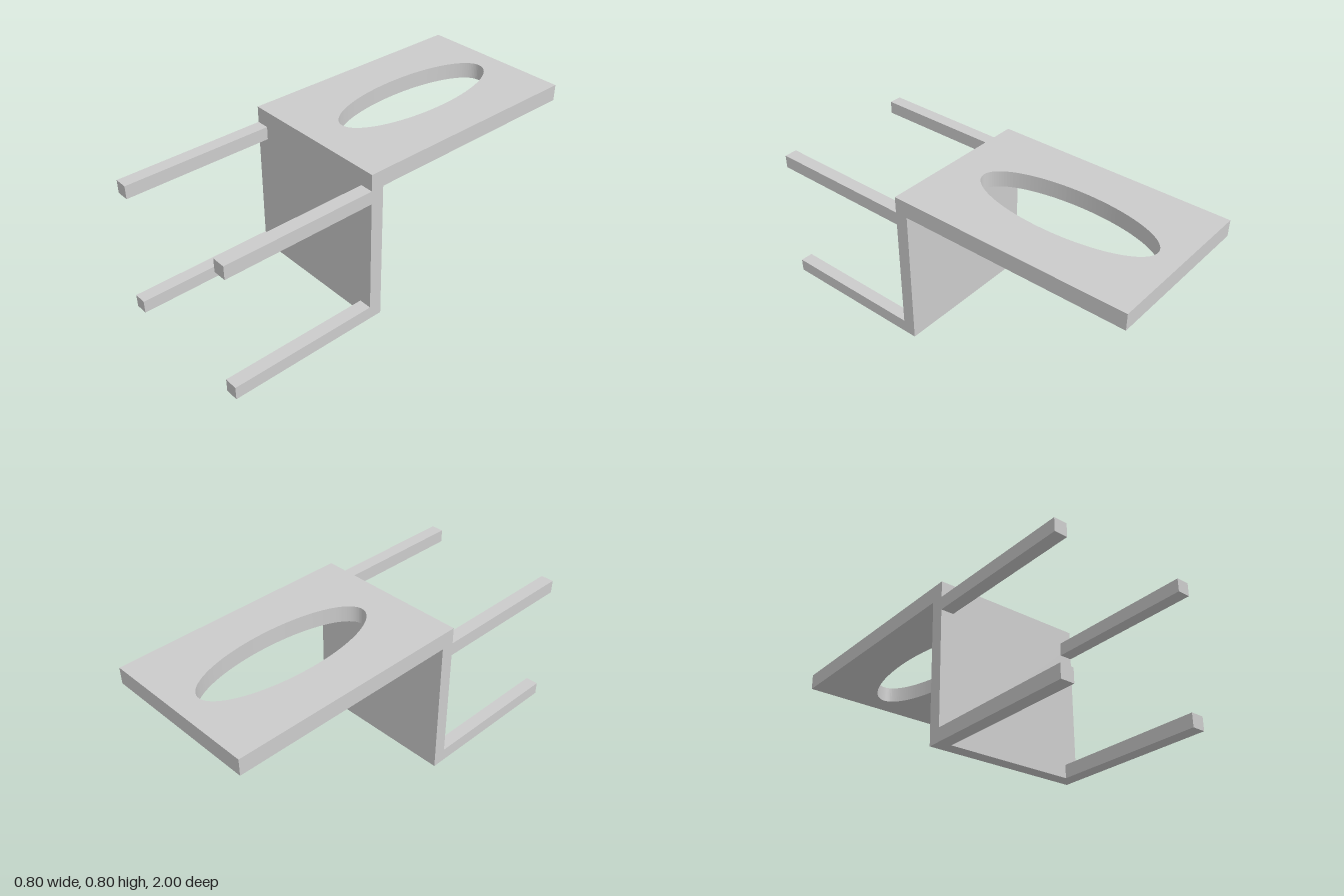
import * as THREE from 'three';

// Chair tipped forward: seat stands upright, legs point to +z, backrest lies along -z
export function createModel() {
  const group = new THREE.Group();
  const material = new THREE.MeshStandardMaterial({ color: 0xcccccc, flatShading: true });

  const add = (name, geometry, x, y, z) => {
    const mesh = new THREE.Mesh(geometry, material);
    mesh.name = name;
    mesh.position.set(x, y, z);
    group.add(mesh);
  };

  const half = 0.4;          // half width of seat and backrest
  const leg = 0.0667;        // leg and seat thickness
  const seatFront = 0.2333;  // seat face the legs grow from
  const backBottom = 0.7167; // underside of the backrest
  const backThick = 0.8 - backBottom;

  // Seat slab
  add('seat', new THREE.BoxGeometry(half * 2, backBottom, leg), 0, backBottom / 2, seatFront - leg / 2);

  // Backrest panel with an elliptical opening (shape y becomes -z)
  const panel = new THREE.Shape([
    new THREE.Vector2(-half, -seatFront),
    new THREE.Vector2(half, -seatFront),
    new THREE.Vector2(half, 1),
    new THREE.Vector2(-half, 1),
  ]);
  const hole = new THREE.Path();
  hole.absellipse(0, 0.4167, 0.1677, 0.4677, 0, Math.PI * 2, true);
  panel.holes.push(hole);
  const backGeometry = new THREE.ExtrudeGeometry(panel, {
    depth: backThick, bevelEnabled: false, curveSegments: 64,
  });
  backGeometry.rotateX(-Math.PI / 2);
  add('backrest', backGeometry, 0, backBottom, 0);

  // Four square legs
  const legLength = 1 - seatFront;
  for (const [side, sx] of [['left', 1], ['right', -1]]) {
    for (const [place, y] of [['Front', leg / 2], ['Rear', backBottom - leg / 2]]) {
      add(`${side}${place}Leg`, new THREE.BoxGeometry(leg, leg, legLength),
        sx * (half - leg / 2), y, seatFront + legLength / 2);
    }
  }
  return group;
}
